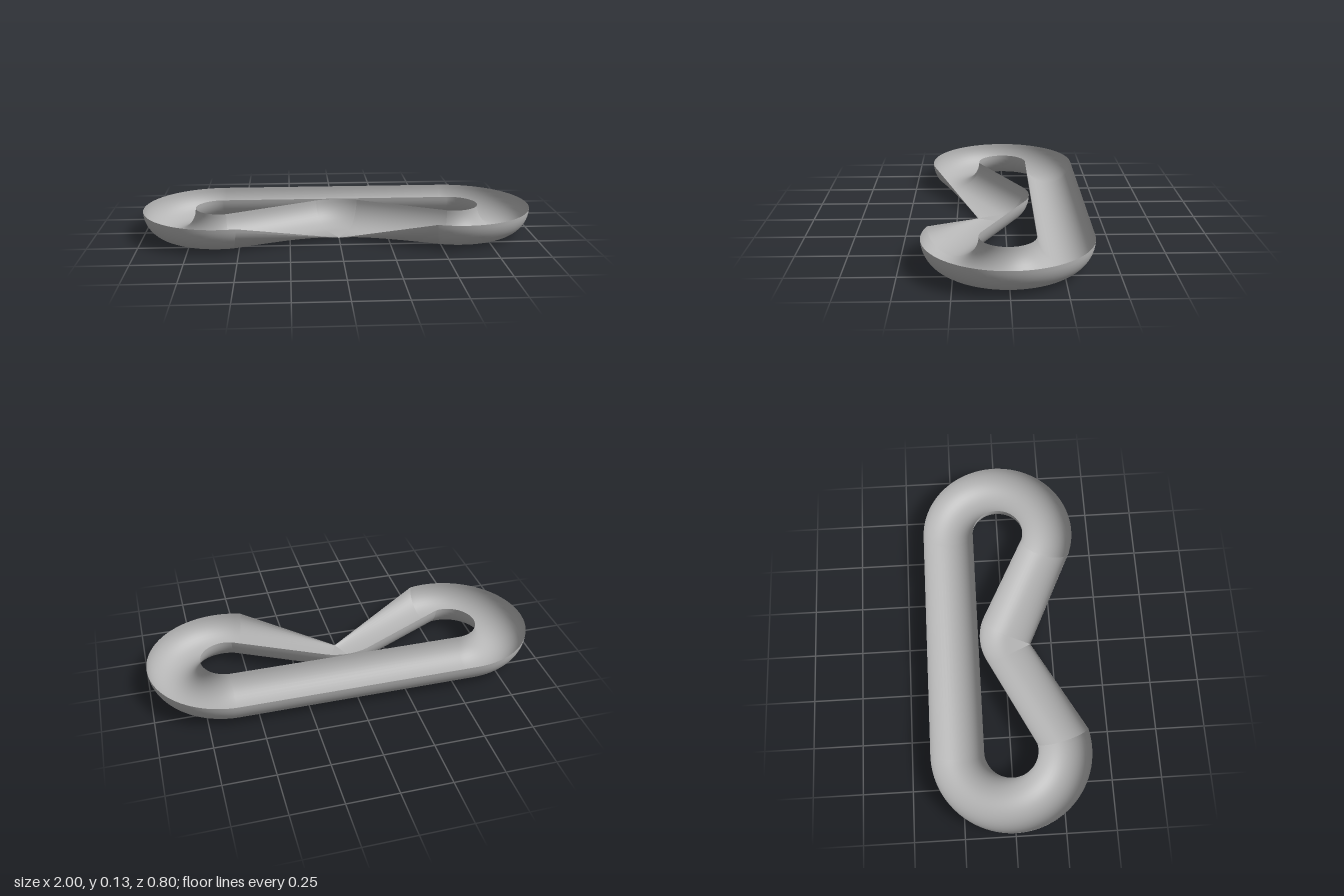
import * as THREE from 'three';

const R = 0.133;        // half width and depth of the channel
const BEND = 0.267;     // centre-line radius of the end bends
const STEPS = 24;       // segments across the channel
const rad = THREE.MathUtils.degToRad;

// A cross-section: centre (x, z), outward direction (nx, nz), outer wall height 0..1
const station = (x, z, nx, nz, wall = 1) => ({ x, z, nx, nz, wall });

// Stations around an end bend; 0 degrees points to +z, 90 to +x
function bend(cx, from, to, count) {
  return Array.from({ length: count + 1 }, (_, i) => {
    const a = rad(from + (to - from) * i / count);
    const nx = Math.sin(a), nz = Math.cos(a);
    return station(cx + BEND * nx, BEND * nz, nx, nz);
  });
}

// Stations around the pinched middle bend, whose outer wall is flattened
function middleBend(halfAngle, count) {
  return Array.from({ length: count + 1 }, (_, i) => {
    const a = rad(halfAngle * (2 * i / count - 1));
    const mx = Math.sin(a), mz = -Math.cos(a);
    return station(R * mx, 0.14 + R * mz, -mx, -mz, 0);
  });
}

// Open half-round skin through the stations
function channel(stations) {
  const pos = [], index = [];
  for (const s of stations) {
    for (let j = 0; j <= STEPS; j++) {
      const t = Math.PI * j / STEPS;
      const u = -R * Math.cos(t);
      const y = R * (1 - Math.sin(t)) * (u > 0 ? s.wall : 1);
      pos.push(s.x + s.nx * u, y, s.z + s.nz * u);
    }
  }
  const row = STEPS + 1;
  for (let i = 0; i < stations.length - 1; i++) {
    for (let j = 0; j < STEPS; j++) {
      const a = i * row + j, b = a + row;
      index.push(a, a + 1, b, b, a + 1, b + 1);
    }
  }
  const g = new THREE.BufferGeometry();
  g.setAttribute('position', new THREE.Float32BufferAttribute(pos, 3));
  g.setIndex(index);
  g.computeVertexNormals();
  return g;
}

export function createModel() {
  const group = new THREE.Group();
  const grey = new THREE.MeshStandardMaterial({ color: 0xb4b4b4, side: THREE.DoubleSide });
  grey.name = 'grey';

  const add = (name, stations) => {
    const mesh = new THREE.Mesh(channel(stations), grey);
    mesh.name = name;
    group.add(mesh);
  };

  // Both end bends joined by the straight back run
  const track = [...bend(0.6, -19.5, 180, 48), ...bend(-0.6, 180, 373, 48)];
  const middle = middleBend(24, 16);
  add('outerTrack', track);
  add('middleBend', middle);

  // Straight legs whose outer wall sinks towards the middle
  add('leftLeg', [middle[middle.length - 1], track[0]]);
  add('rightLeg', [track[track.length - 1], middle[0]]);
  return group;
}
